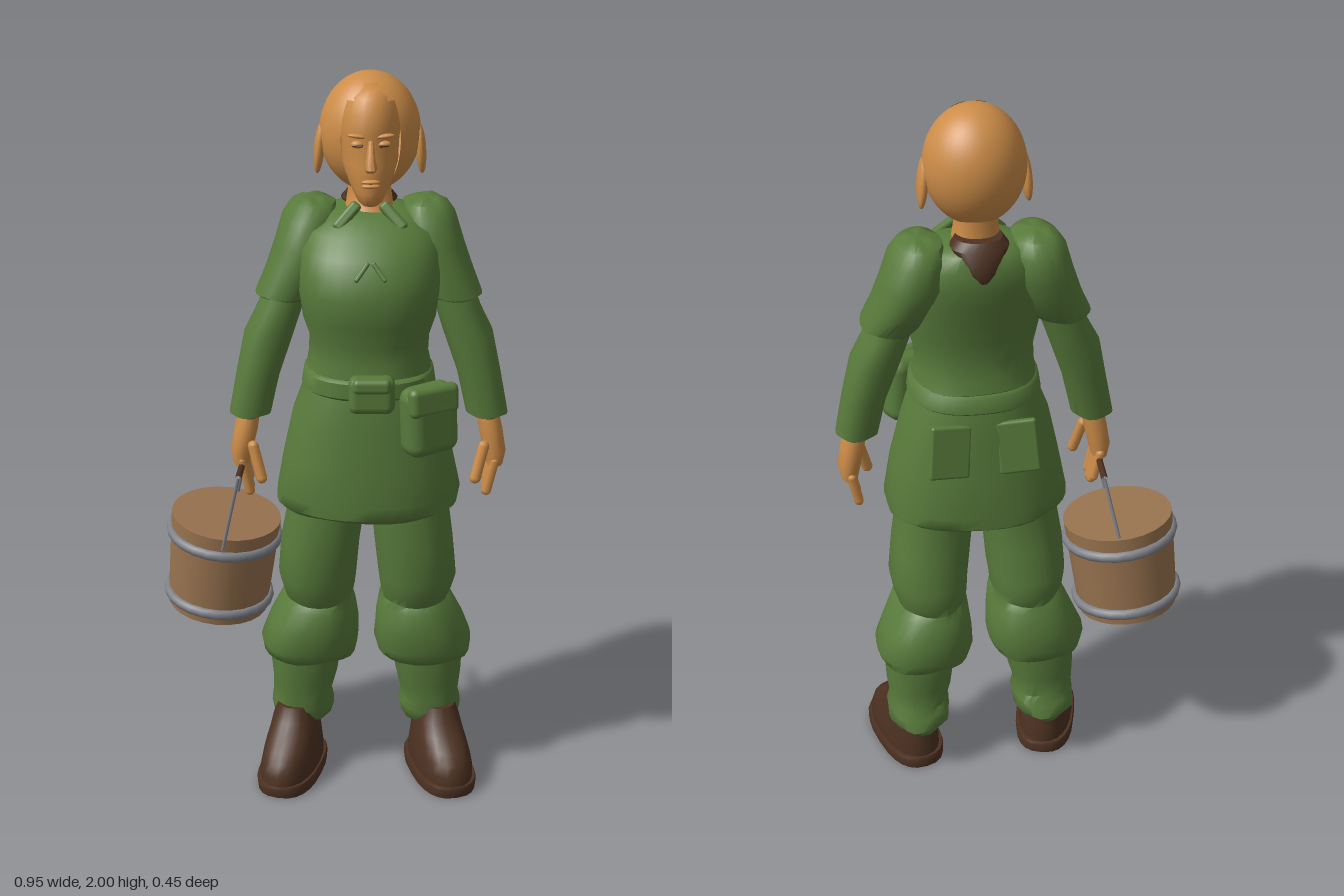
import * as THREE from 'three';
import { toCreasedNormals } from 'three/addons/utils/BufferGeometryUtils.js';
import { RoundedBoxGeometry } from 'three/addons/geometries/RoundedBoxGeometry.js';

const mat = (name, color, side = THREE.FrontSide) => {
  const m = new THREE.MeshStandardMaterial({ color, side });
  m.name = name;
  return m;
};

// Skin over horizontal slices, top to bottom: [y, xMin, xMax, zMin, zMax]
function loft(rows, { seg = 24, power = 2.3, fold = 0, crease = 0.8 } = {}) {
  const pos = [], idx = [];
  const bend = v => Math.sign(v) * Math.pow(Math.abs(v), 2 / power);
  rows.forEach(([y, x0, x1, z0, z1], i) => {
    for (let j = 0; j < seg; j++) {
      const a = (j / seg) * Math.PI * 2;
      const r = 1 + fold * Math.sin(5 * a + 2.1 * i);
      pos.push((x0 + x1) / 2 + bend(Math.cos(a)) * r * (x1 - x0) / 2,
        y + fold * 0.25 * Math.sin(4 * a + i),
        (z0 + z1) / 2 + bend(Math.sin(a)) * r * (z1 - z0) / 2);
    }
  });
  for (let i = 0; i < rows.length - 1; i++) for (let j = 0; j < seg; j++) {
    const k = (j + 1) % seg, a = i * seg + j, b = i * seg + k, c = a + seg, d = b + seg;
    idx.push(a, b, d, a, d, c);
  }
  const last = rows.length - 1, n = rows.length * seg;
  for (const r of [rows[0], rows[last]]) pos.push((r[1] + r[2]) / 2, r[0], (r[3] + r[4]) / 2);
  for (let j = 0; j < seg; j++) {
    const k = (j + 1) % seg;
    idx.push(n, k, j, n + 1, last * seg + j, last * seg + k);
  }
  const g = new THREE.BufferGeometry();
  g.setAttribute('position', new THREE.Float32BufferAttribute(pos, 3));
  g.setIndex(idx);
  return toCreasedNormals(g, crease);
}

const even = rows => rows.map(([y, w, z0, z1]) => [y, -w, w, z0, z1]);
const flip = (rows, s) => s > 0 ? rows : rows.map(([y, x0, x1, z0, z1]) => [y, -x1, -x0, z0, z1]);

export function createModel() {
  const model = new THREE.Group();
  const green = mat('green cloth', 0x587a3b);
  const skin = mat('skin', 0xcc8c48);
  const scalpSkin = mat('scalp', 0xcc8c48, THREE.DoubleSide);
  const leather = mat('dark leather', 0x4c3121);
  const wood = mat('bucket wood', 0x98734f);
  const metal = mat('metal', 0x80838a);

  const body = new THREE.Group();
  body.name = 'body';
  body.position.x = 0.09;
  model.add(body);
  const add = (name, geo, m, parent = body, p = [0, 0, 0], r = [0, 0, 0], s = [1, 1, 1]) => {
    const mesh = new THREE.Mesh(geo, m);
    mesh.name = name;
    mesh.position.set(...p);
    mesh.rotation.set(...r);
    mesh.scale.set(...s);
    parent.add(mesh);
    return mesh;
  };
  const ball = new THREE.SphereGeometry(1, 16, 12);
  const box = (w, h, d, r) => new RoundedBoxGeometry(w, h, d, 3, r);

  // Tunic
  add('tunicTop', loft(even([
    [1.65, 0.07, -0.13, 0.0], [1.64, 0.12, -0.155, 0.045], [1.6, 0.17, -0.17, 0.115],
    [1.55, 0.185, -0.168, 0.155], [1.5, 0.188, -0.158, 0.182], [1.45, 0.186, -0.145, 0.192],
    [1.38, 0.175, -0.13, 0.185], [1.32, 0.158, -0.12, 0.165], [1.27, 0.158, -0.125, 0.165],
    [1.235, 0.165, -0.135, 0.17], [1.22, 0.15, -0.12, 0.15],
  ]), { seg: 32, fold: 0.008 }), green);
  add('tunicSkirt', loft(even([
    [1.25, 0.15, -0.12, 0.15], [1.2, 0.166, -0.135, 0.162], [1.1, 0.2, -0.15, 0.175],
    [0.98, 0.228, -0.163, 0.183], [0.88, 0.248, -0.175, 0.19], [0.845, 0.245, -0.175, 0.187],
    [0.83, 0.22, -0.16, 0.17],
  ]), { seg: 32, fold: 0.012 }), green);
  add('belt', loft(even([
    [1.235, 0.162, -0.13, 0.165], [1.225, 0.172, -0.14, 0.178],
    [1.185, 0.178, -0.145, 0.178], [1.175, 0.165, -0.135, 0.165],
  ]), { seg: 32 }), green);
  add('napeLining', loft(even([
    [1.675, 0.06, -0.145, -0.04], [1.655, 0.075, -0.162, -0.04], [1.6, 0.045, -0.178, -0.08],
    [1.575, 0.015, -0.172, -0.12],
  ])), leather);
  for (const s of [-1, 1]) {
    add('neckLace', box(0.012, 0.06, 0.012, 0.005), green, body, [s * 0.022, 1.53, 0.175], [-0.45, 0, s * 0.6]);
    add('collarEdge', box(0.03, 0.09, 0.025, 0.01), green, body, [s * 0.06, 1.64, 0.045], [-0.5, 0, s * 0.7]);
    add('backFlap', box(0.11, 0.15, 0.02, 0.008), green, body, [s * 0.09, 1.08, -0.148], [0.13, s * 0.12, s * 0.08]);
  }

  // Belt pouches
  add('smallPouch', box(0.12, 0.1, 0.06, 0.022), green, body, [0.005, 1.2, 0.175]);
  add('smallPouchFlap', box(0.1, 0.04, 0.035, 0.014), green, body, [0.005, 1.23, 0.195]);
  add('largePouch', box(0.15, 0.19, 0.09, 0.035), green, body, [0.155, 1.125, 0.155], [0, 0.5, 0.05]);
  add('largePouchFlap', box(0.145, 0.08, 0.04, 0.018), green, body, [0.165, 1.185, 0.178], [-0.1, 0.5, 0.05]);

  for (const s of [-1, 1]) {
    const side = s > 0 ? 'left' : 'right';
    // Arms
    add(side + 'ShortSleeve', loft(flip([
      [1.668, 0.12, 0.18, -0.1, -0.02], [1.655, 0.09, 0.205, -0.14, 0.02], [1.62, 0.08, 0.228, -0.165, 0.045],
      [1.55, 0.08, 0.25, -0.168, 0.06], [1.48, 0.12, 0.275, -0.15, 0.067], [1.42, 0.145, 0.3, -0.125, 0.068],
      [1.41, 0.16, 0.28, -0.11, 0.05],
    ], s), { fold: 0.012 }), green);
    add(side + 'LongSleeve', loft(flip([
      [1.45, 0.15, 0.27, -0.11, 0.05], [1.38, 0.175, 0.295, -0.105, 0.057], [1.31, 0.198, 0.33, -0.1, 0.062],
      [1.2, 0.237, 0.353, -0.08, 0.062], [1.09, 0.262, 0.374, -0.068, 0.063], [1.082, 0.28, 0.36, -0.05, 0.045],
    ], s), { fold: 0.012 }), green);
    // Hands
    add(side + 'Palm', loft(flip([
      [1.1, 0.29, 0.348, -0.035, 0.04], [1.04, 0.298, 0.362, -0.04, 0.052],
      [0.98, 0.312, 0.372, -0.043, 0.055], [0.945, 0.32, 0.365, -0.038, 0.05],
    ], s), { seg: 14 }), skin);
    for (let i = 0; i < 4; i++) {
      const len = [0.075, 0.095, 0.1, 0.09][i];
      add(side + 'Finger', new THREE.CapsuleGeometry(0.0125, len, 4, 8), skin, body,
        [s * 0.331, 0.96 - len / 2, -0.034 + i * 0.025], [0.03 * (i - 1.5), 0, -s * 0.22]);
    }
    add(side + 'Thumb', new THREE.CapsuleGeometry(0.015, 0.09, 4, 8), skin, body, [s * 0.298, 0.965, 0.065], [-0.22, 0, -s * 0.25]);
    // Trousers
    add(side + 'TrouserLeg', loft(flip([
      [0.92, 0.0, 0.21, -0.12, 0.125], [0.82, 0.008, 0.22, -0.12, 0.13], [0.72, 0.02, 0.236, -0.13, 0.132],
      [0.62, 0.03, 0.245, -0.148, 0.125], [0.575, 0.035, 0.235, -0.148, 0.115], [0.545, 0.042, 0.225, -0.14, 0.1],
      [0.525, 0.032, 0.242, -0.155, 0.112], [0.46, 0.024, 0.272, -0.17, 0.117], [0.4, 0.022, 0.295, -0.172, 0.112],
      [0.37, 0.032, 0.288, -0.162, 0.1], [0.355, 0.065, 0.27, -0.14, 0.075],
    ], s), { fold: 0.014 }), green);
    add(side + 'TrouserCuff', loft(flip([
      [0.38, 0.068, 0.272, -0.145, 0.075], [0.28, 0.085, 0.266, -0.14, 0.068], [0.22, 0.1, 0.262, -0.135, 0.055],
      [0.195, 0.092, 0.268, -0.15, 0.058], [0.16, 0.098, 0.265, -0.155, 0.045], [0.135, 0.115, 0.245, -0.135, 0.02],
    ], s), { fold: 0.025 }), green);
    // Boots
    const boot = new THREE.Group();
    boot.name = side + 'Boot';
    boot.position.set(s * 0.208, 0, 0.033);
    boot.rotation.y = s * 0.26;
    body.add(boot);
    add('bootUpper', loft(even([
      [0.21, 0.05, -0.1, 0.03], [0.17, 0.062, -0.12, 0.05], [0.14, 0.066, -0.13, 0.085], [0.115, 0.07, -0.135, 0.125],
      [0.09, 0.074, -0.14, 0.15], [0.06, 0.078, -0.145, 0.165], [0.03, 0.078, -0.148, 0.167],
    ])), leather, boot);
    add('bootSole', loft(even([
      [0.034, 0.083, -0.153, 0.17], [0.026, 0.086, -0.157, 0.173], [0, 0.084, -0.155, 0.168],
    ]), { power: 2.6 }), leather, boot);
  }

  // Head
  add('neck', loft(even([
    [1.76, 0.055, -0.12, 0.02], [1.7, 0.055, -0.115, 0.01], [1.65, 0.062, -0.12, 0.02], [1.61, 0.08, -0.12, 0.06],
  ])), skin);
  add('face', loft(even([
    [1.97, 0.045, -0.1, 0.045], [1.95, 0.06, -0.1, 0.072], [1.91, 0.074, -0.11, 0.092], [1.86, 0.077, -0.11, 0.097],
    [1.83, 0.074, -0.11, 0.092], [1.78, 0.072, -0.1, 0.1], [1.74, 0.06, -0.08, 0.101], [1.71, 0.046, -0.04, 0.097],
    [1.685, 0.032, 0.0, 0.095], [1.675, 0.02, 0.03, 0.08],
  ]), { power: 2.1, crease: 1.2 }), skin);
  const skull = { p: [0, 1.845, -0.04], s: [0.131, 0.155, 0.131] };
  const shell = (name, phi, len, theta, tLen, k = 1) => add(name,
    new THREE.SphereGeometry(k, 32, 20, phi, len, theta, tLen), scalpSkin, body, skull.p, [0, 0, 0], skull.s);
  const mid = Math.PI / 2;
  shell('scalpCrown', 0, Math.PI * 2, 0, 0.5);
  shell('scalpSides', mid + 0.62, Math.PI * 2 - 1.24, 0.45, 2.25);
  for (const s of [-1, 1]) {
    shell('foreheadFlap', mid + s * 0.46 - 0.2, 0.4, 0.4, 0.5, 1.01);
    add('ear', ball, skin, body, [s * 0.131, 1.8, -0.035], [0.1, 0, s * 0.08], [0.014, 0.067, 0.038]);
    add('eyelid', ball, skin, body, [s * 0.033, 1.838, 0.083], [0, 0, 0], [0.018, 0.01, 0.012]);
    add('eye', box(0.026, 0.004, 0.006, 0.002), leather, body, [s * 0.033, 1.836, 0.094], [0, s * 0.3, 0]);
    add('brow', ball, skin, body, [s * 0.034, 1.86, 0.088], [0, 0, s * 0.12], [0.026, 0.006, 0.009]);
  }
  add('nose', loft(even([
    [1.85, 0.007, 0.07, 0.102], [1.8, 0.012, 0.07, 0.122], [1.78, 0.017, 0.07, 0.13], [1.77, 0.012, 0.07, 0.112],
  ]), { seg: 12, crease: 1.2 }), skin);
  for (const y of [1.734, 1.745]) add('lip', ball, skin, body, [0, y, 0.101], [0, 0, 0], [0.024, 0.006, 0.01]);

  // Bucket, hanging at a tilt
  const bucket = new THREE.Group();
  bucket.name = 'bucket';
  bucket.position.set(-0.315, 0.628, -0.058);
  bucket.quaternion.setFromUnitVectors(new THREE.Vector3(0, 1, 0), new THREE.Vector3(0.03, 0.275, 0.025).normalize());
  model.add(bucket);
  add('bucketBody', new THREE.CylinderGeometry(0.152, 0.14, 0.278, 24), wood, bucket);
  for (const [y, r] of [[0.085, 0.15], [-0.105, 0.143]])
    add('bucketHoop', new THREE.TorusGeometry(r, 0.012, 8, 24), metal, bucket, [0, y, 0], [Math.PI / 2, 0, 0], [1, 1, 1.3]);

  // Bucket handle
  const rod = (name, a, b, r, m) => add(name, new THREE.TubeGeometry(
    new THREE.LineCurve3(new THREE.Vector3(...a), new THREE.Vector3(...b)), 1, r, 8), m, model);
  rod('handleGrip', [-0.24, 0.94, -0.135], [-0.257, 0.948, 0.142], 0.009, leather);
  rod('rearHandleWire', [-0.24, 0.94, -0.13], [-0.285, 0.72, -0.195], 0.0045, metal);
  rod('frontHandleWire', [-0.257, 0.948, 0.137], [-0.305, 0.72, 0.1], 0.0045, metal);
  return model;
}
